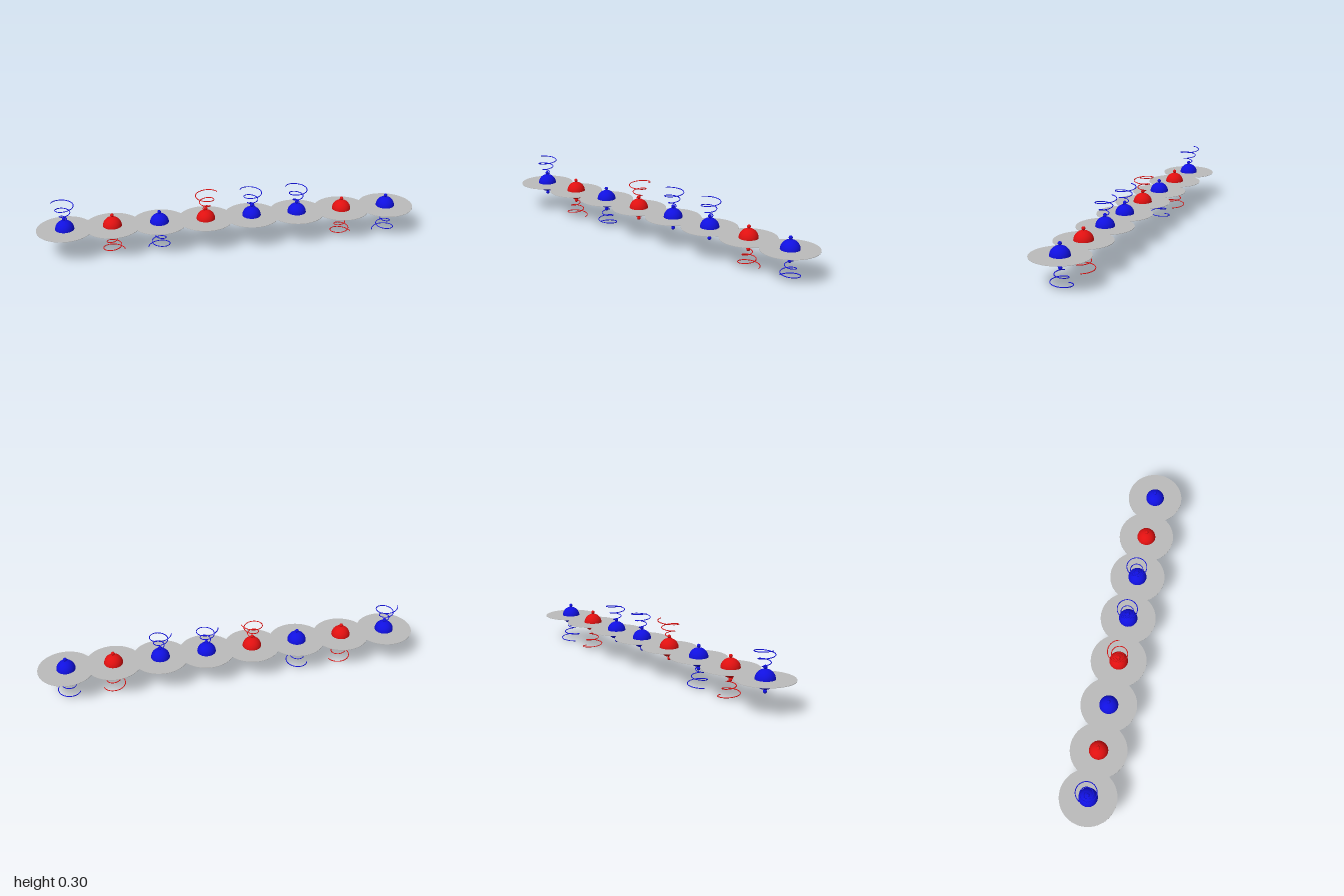
import * as THREE from 'three';

const SPACING = 0.244, DISC_R = 0.146, MID_Y = 0.15;
const BALL_R = 0.049, KNOB_R = 0.0095, KNOB_Y = 0.0585;

// Conical coil that widens as it rises; mirror it with dirX and dirY
class Coil extends THREE.Curve {
  constructor(dirX, dirY) {
    super();
    this.dirX = dirX;
    this.dirY = dirY;
  }
  getPoint(t, target = new THREE.Vector3()) {
    const half = -5 + t * 5.445; // half turns
    const r = 0.057 + 0.0098 * half;
    const a = half * Math.PI;
    return target.set(
      -this.dirX * r * Math.sin(a),
      this.dirY * (0.1383 + 0.0186 * half),
      -r * Math.cos(a));
  }
}

// One scalloped outline made of eight merged circles
function chainPlate(xs) {
  const cut = Math.acos(SPACING / 2 / DISC_R);
  const shape = new THREE.Shape();
  const last = xs.length - 1;
  xs.forEach((x, i) => shape.absarc(x, 0, DISC_R,
    i === 0 ? Math.PI : Math.PI + cut, i === last ? Math.PI * 2 : Math.PI * 2 - cut, false));
  [...xs].reverse().forEach((x, i) => shape.absarc(x, 0, DISC_R,
    i === 0 ? 0 : cut, i === last ? Math.PI : Math.PI - cut, false));
  const depth = 0.002;
  const geo = new THREE.ExtrudeGeometry(shape, { depth, bevelEnabled: false, curveSegments: 32 });
  geo.translate(0, 0, -depth / 2);
  geo.rotateX(-Math.PI / 2);
  return geo;
}

export function createModel() {
  const blue = new THREE.MeshStandardMaterial({ name: 'blue', color: 0x1010e0 });
  const red = new THREE.MeshStandardMaterial({ name: 'red', color: 0xe01010 });
  const gray = new THREE.MeshStandardMaterial({ name: 'gray', color: 0xbbbbbb });

  const model = new THREE.Group();
  model.name = 'springBallChain';
  const add = (parent, name, geo, mat, y = 0) => {
    const mesh = new THREE.Mesh(geo, mat);
    mesh.name = name;
    mesh.position.y = y;
    parent.add(mesh);
  };

  // Colour and spring direction of each unit, along +x
  const units = [
    [blue, 1], [red, -1], [blue, -1], [red, 1],
    [blue, 1], [blue, 1], [red, -1], [blue, -1],
  ];
  const xs = units.map((_, i) => (i - 3.5) * SPACING);

  add(model, 'discChain', chainPlate(xs), gray, MID_Y);

  const ballGeo = new THREE.SphereGeometry(BALL_R, 40, 28);
  const knobGeo = new THREE.SphereGeometry(KNOB_R, 20, 14);

  units.forEach(([mat, dirY], i) => {
    const unit = new THREE.Group();
    unit.name = 'unit' + (i + 1);
    unit.position.set(xs[i], MID_Y, 0);
    add(unit, 'ball', ballGeo, mat);
    add(unit, 'topKnob', knobGeo, mat, KNOB_Y);
    add(unit, 'bottomKnob', knobGeo, mat, -KNOB_Y);
    // Red coils wind the opposite way
    const coil = new Coil(mat === red ? -1 : 1, dirY);
    add(unit, 'spring', new THREE.TubeGeometry(coil, 180, 0.0022, 8, false), mat);
    // Close the free end of the wire
    const cap = new THREE.Mesh(new THREE.SphereGeometry(0.0022, 8, 6), mat);
    cap.name = 'springTip';
    cap.position.copy(coil.getPoint(1));
    unit.add(cap);
    model.add(unit);
  });

  return model;
}
